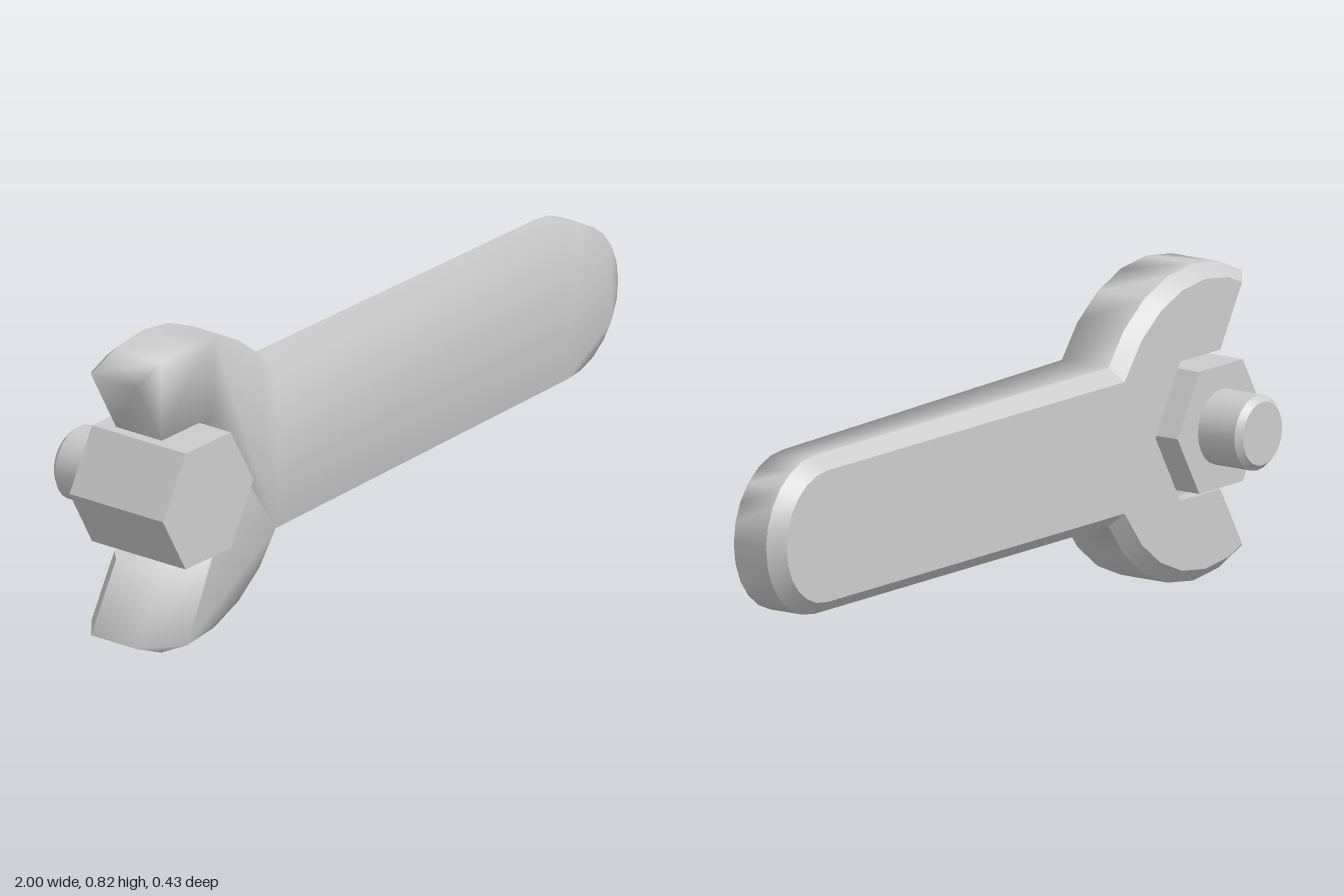
import * as THREE from 'three';
import { toCreasedNormals } from 'three/addons/utils/BufferGeometryUtils.js';

const CY = 0.413, HEAD_X = -0.79, END_X = 0.795;
const FRONT = 0.15, END_FRONT = 0.105, RIM = 0.003, BACK = -0.035, BEVEL = 0.035;

// Points on a circle, angles in degrees
function arc(cx, r, from, to, steps) {
  return Array.from({ length: steps + 1 }, (_, i) => {
    const a = THREE.MathUtils.degToRad(from + ((to - from) * i) / steps);
    return new THREE.Vector2(cx + r * Math.cos(a), CY + r * Math.sin(a));
  });
}

// Counter-clockwise spanner outline: lower jaw, handle end, upper jaw, hexagonal slot
const outline = [
  ...arc(HEAD_X, 0.41, -120, -30, 6),
  ...arc(END_X, 0.205, -90, 90, 12),
  ...arc(HEAD_X, 0.41, 30, 120, 6),
  ...arc(HEAD_X, 0.208, 120, -120, 4),
];
const N = outline.length;
const isSlot = (i) => i >= 27 && i <= 30;

// Back outline: every edge moved inwards, except those of the slot
function insetOutline() {
  const inward = (i) => {
    const d = outline[(i + 1) % N].clone().sub(outline[i]).normalize();
    return new THREE.Vector2(-d.y, d.x);
  };
  return outline.map((p, i) => {
    const j = (i + N - 1) % N;
    const a = inward(j), b = inward(i);
    const da = isSlot(j) ? 0 : BEVEL, db = isSlot(i) ? 0 : BEVEL;
    const det = a.x * b.y - a.y * b.x;
    return new THREE.Vector2(p.x + (da * b.y - db * a.y) / det, p.y + (a.x * db - b.x * da) / det);
  });
}

function build(positions, index) {
  const g = new THREE.BufferGeometry();
  g.setAttribute('position', new THREE.Float32BufferAttribute(positions, 3));
  g.setIndex(index);
  g.computeVertexNormals();
  return g;
}

// Strip between a ring (vertices 0..N-1) and the ring behind it (N..2N-1)
function strip(index) {
  for (let i = 0; i < N; i++) {
    const j = (i + 1) % N;
    index.push(i, N + i, N + j, i, N + j, j);
  }
}

function cap(index, ids, points, offset, flip) {
  for (const [a, b, c] of THREE.ShapeUtils.triangulateShape(ids.map((i) => points[i]), [])) {
    const t = [a, b, c].map((k) => ids[k] + offset);
    index.push(...(flip ? t.reverse() : t));
  }
}

const range = (a, b) => Array.from({ length: b - a + 1 }, (_, i) => a + i);

// Front and walls share vertices, so they shade softly into each other
function frontGeometry() {
  const pos = [], index = [];
  const top = (x) => THREE.MathUtils.mapLinear(
    THREE.MathUtils.clamp(x, -0.43, END_X), -0.43, END_X, FRONT, END_FRONT);
  outline.forEach((p) => pos.push(p.x, p.y, top(p.x)));
  outline.forEach((p) => pos.push(p.x, p.y, RIM));
  strip(index);
  cap(index, [...range(0, 6), ...range(20, N - 1)], outline, 0, false);
  cap(index, [6, 7, 19, 20], outline, 0, false);
  cap(index, range(7, 19), outline, 0, false);
  return build(pos, index);
}

// Bevelled rim and flat back
function backGeometry() {
  const pos = [], index = [], inner = insetOutline();
  outline.forEach((p) => pos.push(p.x, p.y, RIM));
  inner.forEach((p) => pos.push(p.x, p.y, BACK));
  strip(index);
  cap(index, range(0, N - 1), inner, N, true);
  return toCreasedNormals(build(pos, index), 0.6);
}

export function createModel() {
  const model = new THREE.Group();
  model.name = 'spannerAndBolt';
  const material = new THREE.MeshStandardMaterial({ color: 0xcccccc });
  const add = (parent, name, geometry) => {
    const mesh = new THREE.Mesh(geometry, material);
    mesh.name = name;
    parent.add(mesh);
    return mesh;
  };

  const spanner = new THREE.Group();
  spanner.name = 'spanner';
  add(spanner, 'spannerFront', frontGeometry());
  add(spanner, 'spannerBack', backGeometry());

  // Bolt lies along z inside the jaws
  const bolt = new THREE.Group();
  bolt.name = 'bolt';
  bolt.position.set(HEAD_X, CY, 0);
  const hex = new THREE.CylinderGeometry(0.182, 0.182, 0.302, 6, 1, false, Math.PI / 2);
  hex.rotateX(Math.PI / 2).translate(0, 0, 0.066);
  add(bolt, 'boltHead', toCreasedNormals(hex, 0.5));

  const profile = [[0, -0.216], [0.082, -0.216], [0.097, -0.2], [0.097, -0.08]];
  const shaft = new THREE.LatheGeometry(profile.map(([r, y]) => new THREE.Vector2(r, y)), 24);
  shaft.rotateX(Math.PI / 2);
  add(bolt, 'boltShaft', toCreasedNormals(shaft, 0.6));

  model.add(spanner, bolt);
  return model;
}
